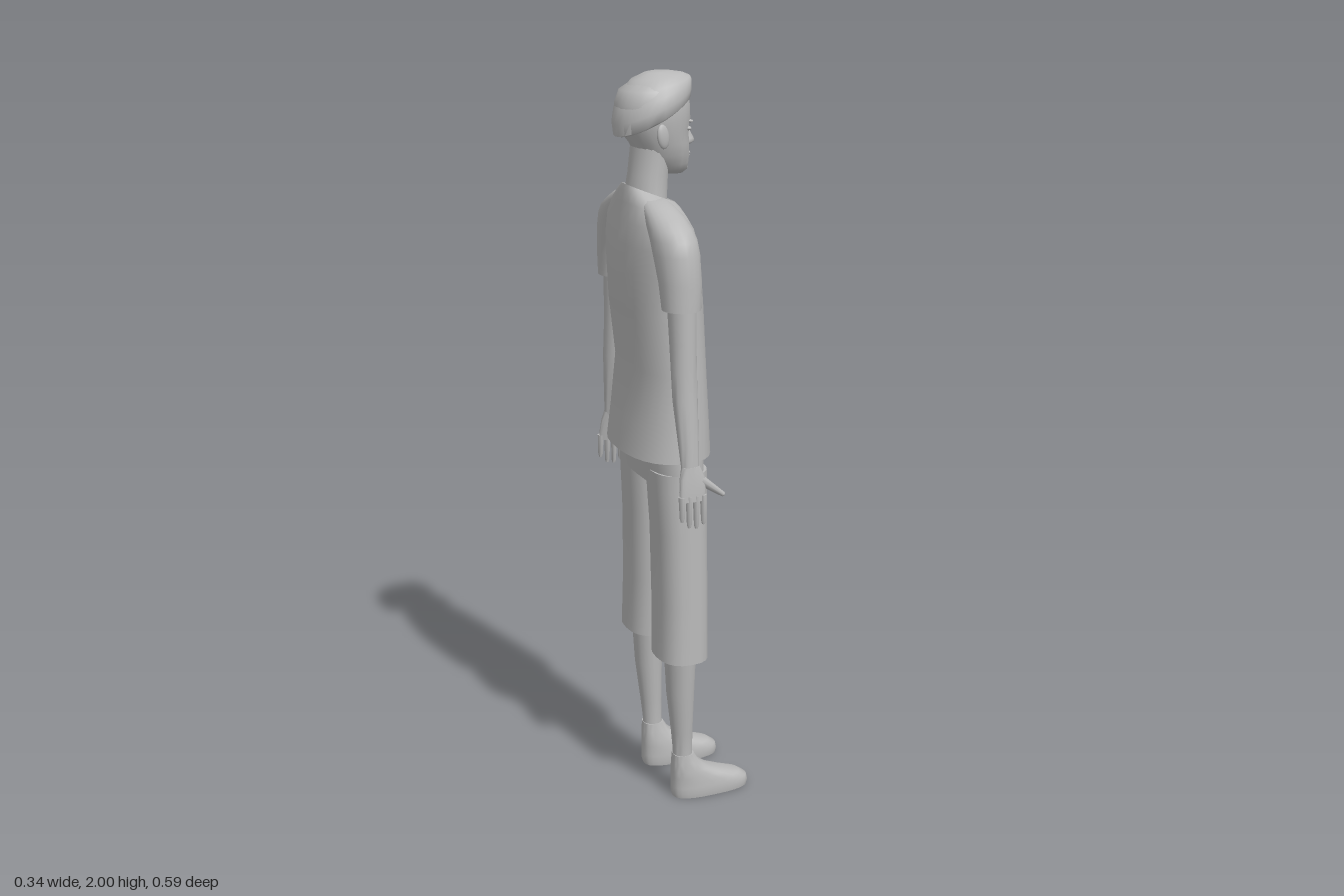
import * as THREE from 'three';
import { toCreasedNormals } from 'three/addons/utils/BufferGeometryUtils.js';

const plain = new THREE.MeshStandardMaterial({ color: 0xb8b8b8 });
plain.name = 'plain grey';

// Closed body through horizontal rings, lowest first.
// ring: [y, xBack, xFront, zInner, zOuter, tilt]; side -1 mirrors it in z; p < 1 squares the rings.
function loft(rings, { side = 1, p = 1, n = 20, crease = 0.9 } = {}) {
  const pos = [], idx = [];
  const bend = v => Math.sign(v) * Math.pow(Math.abs(v), p);
  for (const [y, x0, x1, z0, z1, tilt = 0] of rings) {
    const cx = (x0 + x1) / 2, cz = side * (z0 + z1) / 2;
    for (let i = 0; i < n; i++) {
      const t = (i / n) * Math.PI * 2;
      const dx = bend(Math.cos(t)) * (x1 - x0) / 2;
      pos.push(cx + dx, y + tilt * dx, cz + bend(Math.sin(t)) * (z1 - z0) / 2);
    }
  }
  for (let r = 0; r < rings.length - 1; r++) {
    for (let i = 0; i < n; i++) {
      const j = (i + 1) % n, a = r * n + i, b = r * n + j;
      idx.push(a, a + n, b, b, a + n, b + n);
    }
  }
  // end caps
  const last = (rings.length - 1) * n, bottom = pos.length / 3;
  for (const [y, x0, x1, z0, z1] of [rings[0], rings[rings.length - 1]]) {
    pos.push((x0 + x1) / 2, y, side * (z0 + z1) / 2);
  }
  for (let i = 0; i < n; i++) {
    const j = (i + 1) % n;
    idx.push(bottom, i, j, bottom + 1, last + j, last + i);
  }
  const g = new THREE.BufferGeometry();
  g.setAttribute('position', new THREE.Float32BufferAttribute(pos, 3));
  g.setIndex(idx);
  return toCreasedNormals(g, crease);
}

// Rings symmetric about z = 0: [y, xBack, xFront, halfWidth, tilt]
const centred = rows => rows.map(([y, a, b, h, t]) => [y, a, b, -h, h, t]);

export function createModel() {
  const model = new THREE.Group();
  model.name = 'standingFigure';
  const add = (name, geometry, parent = model) => {
    const m = new THREE.Mesh(geometry, plain);
    m.name = name;
    parent.add(m);
    return m;
  };
  const ball = (name, x, y, z, sx, sy, sz, parent) => {
    const m = add(name, new THREE.SphereGeometry(1, 14, 10), parent);
    m.position.set(x, y, z);
    m.scale.set(sx, sy, sz);
    return m;
  };

  // Shirt body with a neckline that dips at the front
  add('shirt', loft(centred([
    [1.01, -0.17, 0.065, 0.195], [1.1, -0.158, 0.06, 0.19], [1.24, -0.143, 0.052, 0.182],
    [1.4, -0.163, 0.046, 0.178], [1.5, -0.167, 0.038, 0.18], [1.57, -0.165, 0.026, 0.19],
    [1.62, -0.158, 0.012, 0.185, -0.1], [1.655, -0.15, 0.002, 0.15, -0.25],
    [1.678, -0.147, -0.005, 0.105, -0.32], [1.692, -0.143, -0.012, 0.07, -0.4],
    [1.682, -0.135, -0.02, 0.06, -0.4],
  ]), { p: 0.85, n: 28 }));

  // Neck and head
  add('neck', loft(centred([
    [1.62, -0.14, -0.03, 0.075], [1.68, -0.14, -0.032, 0.068],
    [1.74, -0.13, -0.028, 0.062], [1.82, -0.12, -0.02, 0.064],
  ])));
  const head = new THREE.Group();
  head.name = 'head';
  model.add(head);
  add('skull', loft(centred([
    [1.738, -0.04, 0.018, 0.022], [1.748, -0.07, 0.028, 0.038], [1.765, -0.095, 0.03, 0.052],
    [1.79, -0.11, 0.031, 0.065], [1.82, -0.125, 0.029, 0.075], [1.855, -0.152, 0.026, 0.082],
    [1.88, -0.163, 0.032, 0.086], [1.92, -0.163, 0.03, 0.086], [1.955, -0.15, 0.022, 0.078],
    [1.98, -0.11, 0, 0.05],
  ]), { p: 0.92, n: 28, crease: 1.2 }), head);
  // Hair sits low at the nape and sweeps up to a quiff
  add('hair', loft(centred([
    [1.885, -0.16, 0.026, 0.086, 0.5], [1.89, -0.167, 0.033, 0.091, 0.5],
    [1.915, -0.171, 0.036, 0.093, 0.42], [1.943, -0.166, 0.037, 0.088, 0.36],
    [1.966, -0.15, 0.034, 0.075, 0.22], [1.986, -0.12, 0.018, 0.055, 0.1],
    [1.997, -0.085, -0.015, 0.028, 0.04], [2, -0.065, -0.035, 0.01],
  ]), { n: 28, crease: 1.1 }), head);
  add('nose', loft(centred([
    [1.808, 0.01, 0.036, 0.012], [1.816, 0.01, 0.05, 0.016], [1.824, 0.01, 0.05, 0.014],
    [1.845, 0.01, 0.038, 0.009], [1.872, 0.01, 0.031, 0.008],
  ]), { n: 12, crease: 1.2 }), head);
  ball('upperLip', 0.028, 1.789, 0, 0.009, 0.004, 0.022, head);
  ball('lowerLip', 0.027, 1.781, 0, 0.009, 0.005, 0.018, head);
  ball('chin', 0.018, 1.753, 0, 0.013, 0.012, 0.022, head);

  for (const side of [1, -1]) {
    const word = side > 0 ? 'left' : 'right';
    const limb = (name, rings, opts, parent) =>
      add(word + name, loft(rings, { side, ...opts }), parent);

    // Face details
    ball(word + 'Eye', 0.017, 1.855, side * 0.036, 0.009, 0.006, 0.014, head);
    ball(word + 'Brow', 0.02, 1.874, side * 0.037, 0.009, 0.004, 0.019, head);
    const ear = ball(word + 'Ear', -0.072, 1.845, side * 0.086, 0.019, 0.032, 0.009, head);
    ear.rotation.set(0, side * 0.35, 0.2);

    // Sleeve and shoulder
    limb('Sleeve', [
      [1.432, -0.13, -0.03, 0.168, 0.27], [1.5, -0.135, -0.025, 0.155, 0.268],
      [1.57, -0.14, -0.024, 0.12, 0.263], [1.605, -0.141, -0.026, 0.1, 0.252],
      [1.63, -0.14, -0.032, 0.08, 0.232], [1.655, -0.136, -0.04, 0.06, 0.19],
      [1.675, -0.132, -0.052, 0.04, 0.148], [1.688, -0.125, -0.065, 0.03, 0.112],
    ], { crease: 1.1 });

    // Bare arm, palm, fingers and thumb
    limb('Arm', [
      [1.02, -0.1, -0.052, 0.252, 0.284], [1.08, -0.104, -0.05, 0.238, 0.28],
      [1.2, -0.112, -0.046, 0.212, 0.269], [1.27, -0.112, -0.045, 0.2, 0.264],
      [1.35, -0.113, -0.044, 0.188, 0.261], [1.5, -0.118, -0.04, 0.175, 0.255],
    ]);
    const hand = new THREE.Group();
    hand.name = word + 'Hand';
    model.add(hand);
    limb('Palm', [
      [0.94, -0.112, -0.042, 0.274, 0.293], [0.965, -0.112, -0.038, 0.268, 0.292],
      [1.0, -0.108, -0.038, 0.26, 0.288], [1.03, -0.1, -0.052, 0.252, 0.284],
    ], { p: 0.85 }, hand);
    [0.888, 0.87, 0.866, 0.875].forEach((tip, i) => {
      const x = -0.107 + i * 0.02;
      limb('Finger' + (i + 1), [
        [tip, x - 0.004, x + 0.004, 0.283, 0.291], [tip + 0.01, x - 0.007, x + 0.007, 0.28, 0.294],
        [0.955, x - 0.009, x + 0.009, 0.274, 0.294],
      ], { n: 8, crease: 1.2 }, hand);
    });
    const from = new THREE.Vector3(-0.055, 0.995, side * 0.272);
    const to = new THREE.Vector3(0.012, 0.945, side * 0.274);
    const dir = to.clone().sub(from);
    const thumb = add(word + 'Thumb', new THREE.CylinderGeometry(0.007, 0.015, dir.length(), 10), hand);
    thumb.position.copy(from).add(to).multiplyScalar(0.5);
    thumb.quaternion.setFromUnitVectors(new THREE.Vector3(0, 1, 0), dir.normalize());
    ball(word + 'ThumbTip', to.x, to.y, to.z, 0.007, 0.007, 0.007, hand);

    // Shorts leg, bare shin and shoe
    limb('ShortsLeg', [
      [0.435, -0.106, 0.033, 0.02, 0.197], [0.6, -0.103, 0.034, 0.014, 0.191],
      [0.8, -0.106, 0.034, 0.01, 0.186], [0.92, -0.113, 0.036, 0.006, 0.182],
      [0.97, -0.115, 0.036, 0.003, 0.18],
    ], { p: 0.8 });
    limb('Shin', [
      [0.08, -0.055, 0.004, 0.08, 0.136], [0.14, -0.054, 0, 0.081, 0.135],
      [0.2, -0.06, 0, 0.079, 0.141], [0.32, -0.074, 0.002, 0.07, 0.156],
      [0.46, -0.082, 0.006, 0.064, 0.166],
    ]);
    limb('Shoe', [
      [0, -0.055, 0.168, 0.062, 0.149], [0.012, -0.058, 0.171, 0.06, 0.151],
      [0.03, -0.058, 0.167, 0.061, 0.15], [0.045, -0.058, 0.145, 0.063, 0.148],
      [0.06, -0.058, 0.1, 0.066, 0.146], [0.08, -0.058, 0.05, 0.07, 0.143],
      [0.105, -0.057, 0.018, 0.076, 0.139], [0.13, -0.055, 0.003, 0.08, 0.136],
    ], { p: 0.75, n: 28 });
  }

  // Seat of the shorts, tucked under the shirt
  add('shortsSeat', loft(centred([
    [0.93, -0.114, 0.036, 0.181], [0.98, -0.12, 0.038, 0.182], [1.05, -0.125, 0.036, 0.175],
  ]), { p: 0.75, n: 28 }));

  return model;
}
